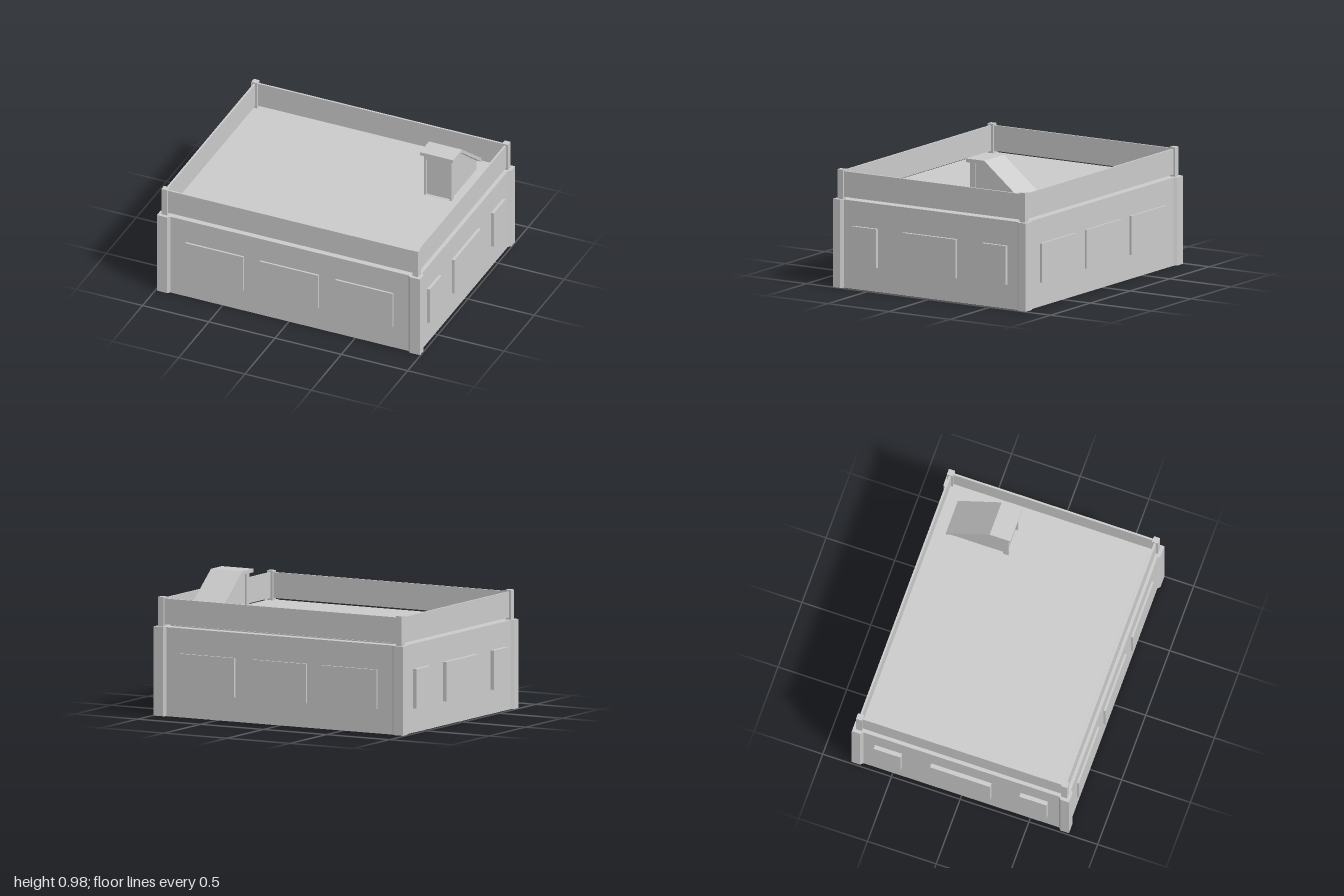
import * as THREE from 'three';

const material = new THREE.MeshStandardMaterial({ color: 0xcccccc, flatShading: true });

export function createModel() {
  const model = new THREE.Group();

  const add = (name, geometry) => {
    const mesh = new THREE.Mesh(geometry, material);
    mesh.name = name;
    model.add(mesh);
    return mesh;
  };

  // Box given by its limits on each axis
  const box = (name, x0, x1, y0, y1, z0, z1) =>
    add(name, new THREE.BoxGeometry(x1 - x0, y1 - y0, z1 - z0))
      .position.set((x0 + x1) / 2, (y0 + y1) / 2, (z0 + z1) / 2);

  const polygon = (points) => new THREE.Shape(points.map(([a, b]) => new THREE.Vector2(a, b)));

  const extrude = (shape, depth) =>
    new THREE.ExtrudeGeometry(shape, { depth, bevelEnabled: false });

  // Side profile of [z, y] points, extruded from x0 to x1
  const sideProfile = (name, points, x0, x1) => {
    const geometry = extrude(polygon(points.map(([z, y]) => [-z, y])), x1 - x0);
    geometry.rotateY(Math.PI / 2);
    add(name, geometry).position.x = x0;
  };

  const cx = 0.004, cz = -0.003;

  // Main block and slightly raised roof deck
  box('building', -0.97, 0.977, 0, 0.618, -0.776, 0.77);
  box('roofDeck', -0.89, 0.9, 0.61, 0.625, -0.713, 0.705);

  // Corner pillars with chamfered edges, and the posts on top of them
  for (const sx of [-1, 1]) {
    for (const sz of [-1, 1]) {
      const outline = [
        [0.992, 0.79], [0.915, 0.79], [0.895, 0.77], [0.895, 0.71],
        [0.973, 0.71], [0.992, 0.73],
      ].map(([x, z]) => [cx + sx * x, -(cz + sz * z)]);
      const geometry = extrude(polygon(outline), 0.618);
      geometry.rotateX(-Math.PI / 2);
      add('cornerPillar', geometry);

      const px = cx + sx * 0.946, pz = cz + sz * 0.746;
      box('parapetPost', px - 0.022, px + 0.022, 0.61, 0.824, pz - 0.022, pz + 0.022);
    }
  }

  // Thin parapet panels held between the posts, just clear of the roof
  for (const s of [-1, 1]) {
    const x = cx + s * 0.946, z = cz + s * 0.746;
    box('parapetLong', cx - 0.93, cx + 0.93, 0.633, 0.812, z - 0.007, z + 0.007);
    box('parapetShort', x - 0.007, x + 0.007, 0.633, 0.812, cz - 0.73, cz + 0.73);
  }

  // Raised window panels on all four walls
  for (const [x0, x1] of [[-0.775, -0.34], [-0.215, 0.225], [0.355, 0.787]]) {
    box('frontWindow', x0, x1, 0.17, 0.443, 0.76, 0.784);
    box('backWindow', x0, x1, 0.17, 0.443, -0.79, -0.765);
  }
  for (const [z0, z1] of [[-0.63, -0.435], [-0.22, 0.217], [0.43, 0.628]]) {
    box('leftWindow', 0.965, 0.998, 0.17, 0.443, z0, z1);
    box('rightWindow', -1, -0.96, 0.17, 0.443, z0, z1);
  }

  // Stair housing: body with sloping back
  sideProfile('stairHousing', [
    [-0.23, 0.62], [-0.64, 0.62], [-0.64, 0.7], [-0.33, 0.952], [-0.23, 0.952],
  ], 0.59, 0.775);

  // Bent cover: flat over the door, then sloping down to the back
  sideProfile('stairCover', [
    [-0.18, 0.975], [-0.18, 0.95], [-0.325, 0.95], [-0.648, 0.69],
    [-0.648, 0.72], [-0.33, 0.975],
  ], 0.557, 0.807);

  // Door frame around a shallow recessed door
  const frame = polygon([[0.577, 0.62], [0.787, 0.62], [0.787, 0.952], [0.577, 0.952]]);
  frame.holes.push(polygon([[0.593, 0.626], [0.593, 0.915], [0.771, 0.915], [0.771, 0.626]]));
  add('doorFrame', extrude(frame, 0.04)).position.z = -0.24;
  box('door', 0.585, 0.779, 0.621, 0.93, -0.238, -0.215);

  return model;
}
